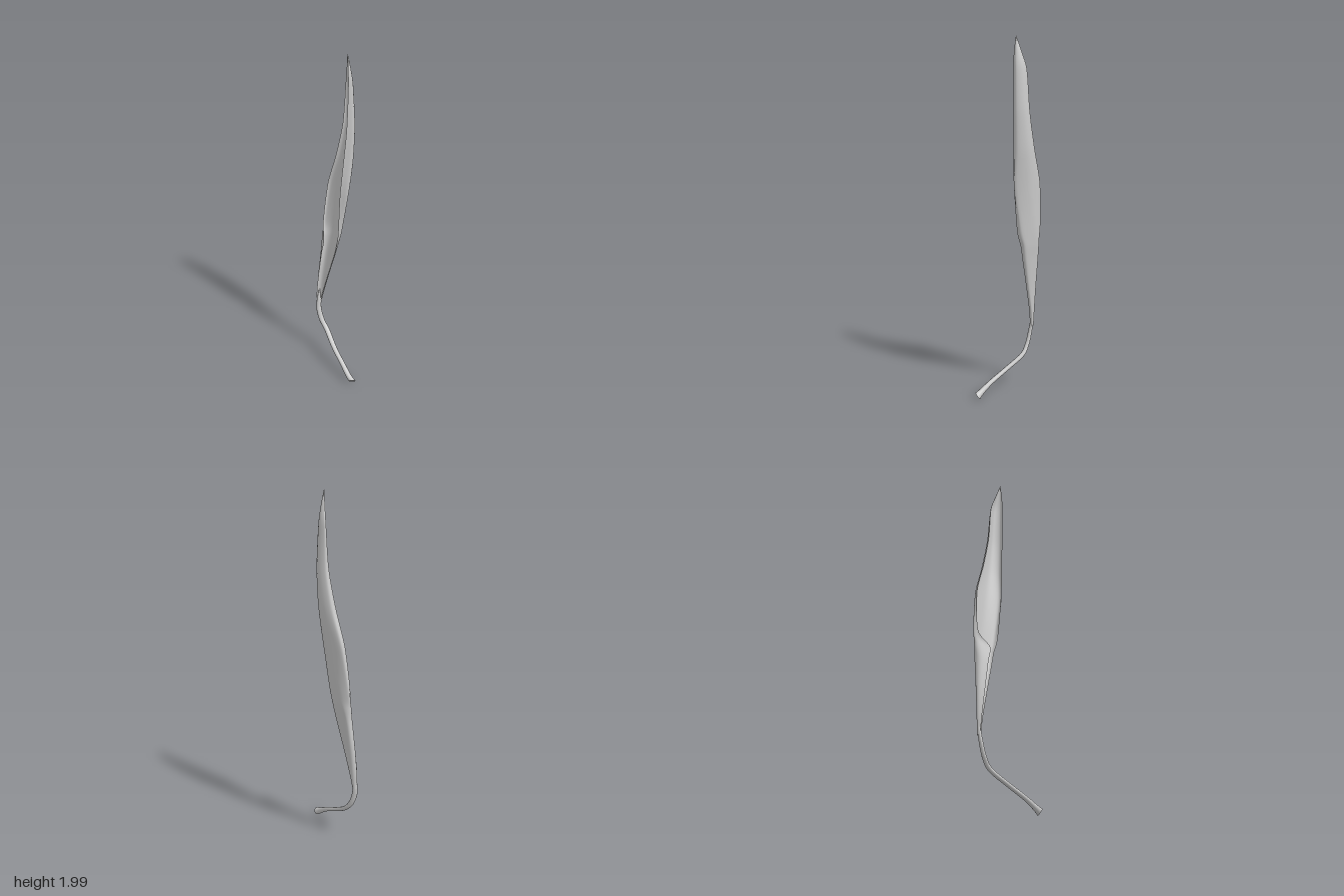
import * as THREE from 'three';

// Blade cross-sections, base to tip: height, then five x,z pairs from the back edge to the front edge
const sections = [
  [0.36, [-0.101, -0.165, -0.096, -0.177, -0.084, -0.178, -0.076, -0.167, -0.086, -0.157]],
  [0.45, [-0.103, -0.160, -0.094, -0.180, -0.075, -0.179, -0.060, -0.160, -0.070, -0.148]],
  [0.60, [-0.092, -0.143, -0.084, -0.180, -0.058, -0.181, -0.031, -0.138, -0.040, -0.121]],
  [0.77, [-0.074, -0.122, -0.068, -0.176, -0.035, -0.185, 0.005, -0.114, -0.005, -0.088]],
  [0.86, [-0.061, -0.111, -0.059, -0.186, -0.015, -0.180, 0.023, -0.100, 0.008, -0.072]],
  [0.95, [-0.056, -0.176, -0.040, -0.200, 0.010, -0.158, 0.037, -0.072, 0.012, -0.050]],
  [1.20, [-0.026, -0.181, 0.002, -0.182, 0.056, -0.110, 0.063, -0.026, 0.018, -0.030]],
  [1.40, [0.014, -0.137, 0.044, -0.138, 0.086, -0.088, 0.084, -0.024, 0.034, -0.022]],
  [1.60, [0.044, -0.102, 0.066, -0.104, 0.096, -0.070, 0.090, -0.021, 0.050, -0.017]],
  [1.82, [0.055, -0.087, 0.066, -0.086, 0.085, -0.060, 0.081, -0.023, 0.056, -0.016]],
  [1.91, [0.055, -0.060, 0.061, -0.060, 0.072, -0.048, 0.070, -0.026, 0.055, -0.018]],
  [2.00, [0.053, -0.030, 0.053, -0.030, 0.053, -0.030, 0.053, -0.030, 0.053, -0.030]],
];

// Stem path from the blade down to the cut end: x, y, z, half width
const stemPath = [
  [-0.083, 0.47, -0.176, 0.003], [-0.089, 0.39, -0.169, 0.013], [-0.090, 0.32, -0.158, 0.016],
  [-0.075, 0.25, -0.136, 0.017], [-0.049, 0.198, -0.098, 0.017], [-0.020, 0.137, 0.000, 0.016],
  [0.018, 0.083, 0.100, 0.016], [0.043, 0.044, 0.160, 0.018], [0.061, 0.024, 0.191, 0.021],
];

// Surface from rows of points, with smooth normals
function gridGeometry(rows, closed) {
  const n = rows[0].length, index = [];
  for (let i = 0; i < rows.length - 1; i++) {
    for (let j = 0; j < (closed ? n : n - 1); j++) {
      const k = (j + 1) % n;
      const a = i * n + j, b = i * n + k, c = a + n, d = b + n;
      index.push(a, c, b, b, c, d);
    }
  }
  const geometry = new THREE.BufferGeometry().setFromPoints(rows.flat());
  geometry.setIndex(index);
  geometry.computeVertexNormals();
  return geometry;
}

// One face of the curled blade; fill moves it from the outer curve toward the line between the two edges
function bladeGeometry(fill) {
  const rails = [0, 1, 2, 3, 4].map((k) => new THREE.CatmullRomCurve3(
    sections.map(([y, p]) => new THREE.Vector3(p[2 * k], y, p[2 * k + 1])), false, 'catmullrom', 0.4));
  const rows = [];
  for (let i = 0; i <= 88; i++) {
    const across = new THREE.CatmullRomCurve3(rails.map((r) => r.getPoint(i / 88)), false, 'catmullrom', 0.5);
    const row = across.getPoints(20);
    const chord = new THREE.LineCurve3(row[0].clone(), row[20].clone());
    rows.push(row.map((p, j) => p.lerp(chord.getPoint(j / 20), fill)));
  }
  return gridGeometry(rows, false);
}

// Rings of the slightly flattened stem, flaring at the cut end
function stemRings() {
  const curve = new THREE.CatmullRomCurve3(stemPath.map((p) => new THREE.Vector3(p[0], p[1], p[2])), false, 'catmullrom', 0.5);
  const steps = 48, sides = 12, rows = [];
  const across = new THREE.Vector3(1, 0, 0.1).normalize();
  for (let i = 0; i <= steps; i++) {
    const t = i / steps, s = t * (stemPath.length - 1);
    const k = Math.min(Math.floor(s), stemPath.length - 2);
    const width = THREE.MathUtils.lerp(stemPath[k][3], stemPath[k + 1][3], s - k);
    const thickness = width * THREE.MathUtils.lerp(0.7, 1.05, t ** 4);
    const centre = curve.getPoint(t);
    const up = curve.getTangent(t).cross(across).normalize();
    const row = [];
    for (let j = 0; j < sides; j++) {
      const angle = (j / sides) * Math.PI * 2;
      row.push(centre.clone()
        .addScaledVector(across, Math.cos(angle) * width)
        .addScaledVector(up, Math.sin(angle) * thickness));
    }
    rows.push(row);
  }
  return rows;
}

export function createModel() {
  const group = new THREE.Group();
  group.name = 'leaf';
  const material = new THREE.MeshStandardMaterial({ color: 0xcccccc, side: THREE.DoubleSide });
  const add = (name, geometry) => {
    const mesh = new THREE.Mesh(geometry, material);
    mesh.name = name;
    group.add(mesh);
  };
  add('bladeOuterFace', bladeGeometry(0));
  add('bladeInnerFace', bladeGeometry(0.25));
  const rings = stemRings();
  add('stem', gridGeometry(rings, true));

  // Slightly hollow cut end of the stem
  const rim = rings[rings.length - 1];
  const [x, y, z] = stemPath[stemPath.length - 1];
  const hub = new THREE.Vector3(x - 0.003, y + 0.004, z - 0.008);
  add('stemEnd', gridGeometry([rim, rim.map(() => hub)], true));
  return group;
}
